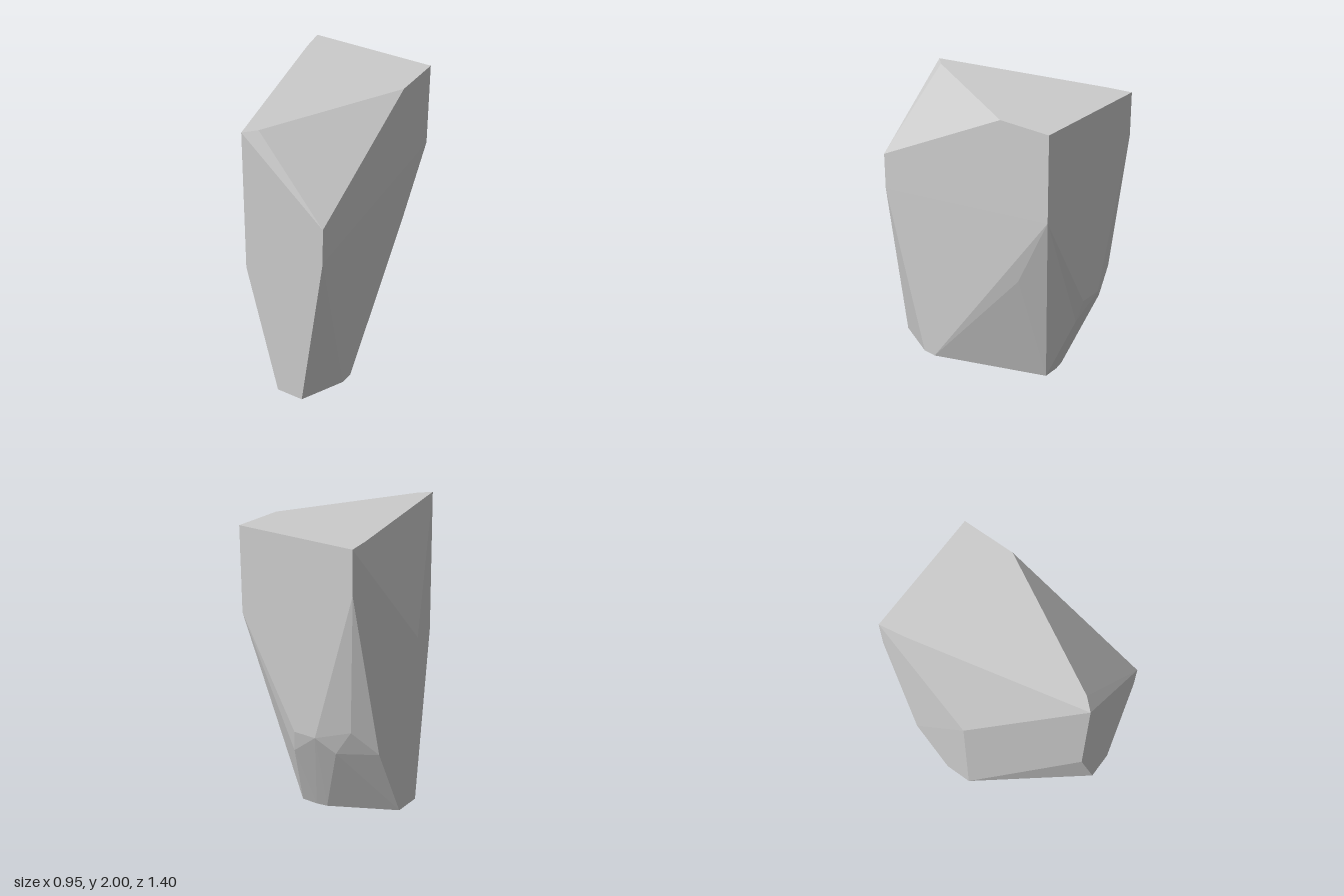
import * as THREE from 'three';
import { ConvexGeometry } from 'three/addons/geometries/ConvexGeometry.js';

// Corners of the cut stone as [x, y, z], grouped by region
const topRim = [
  [-0.42, 2, -0.7], [0.475, 2, -0.7], [0.475, 2, -0.32],
  [-0.04, 2, 0.62], [-0.115, 2, 0.7], [-0.39, 2, -0.52],
];
const frontFace = [[0.475, 1.48, 0.7], [0.475, 1.22, 0.7], [-0.115, 0.97, 0.7]];
const leftAndRightSides = [
  [-0.475, 1.22, -0.03], [-0.475, 0.53, -0.48], [0.44, 0.87, -0.44],
];
const backFace = [
  [0.475, 1.4, -0.7], [0.06, 0.64, -0.7], [-0.11, 0.64, -0.7], [-0.42, 1.7, -0.7],
];
const backBevel = [[0.09, 0.48, -0.665], [-0.23, 0.53, -0.63], [-0.345, 0.71, -0.62]];
const base = [
  [0.115, 0, 0.7], [0.31, 0, 0.7], [0.46, 0, 0.4], [0.465, 0, 0.3],
  [0.17, 0, -0.48], [0.05, 0, -0.48], [-0.03, 0, -0.465],
  [-0.475, 0, -0.23], [-0.475, 0, -0.03],
];

export function createModel() {
  const group = new THREE.Group();
  group.name = 'rock';

  // Faceted stone: the convex hull of its corners
  const corners = [topRim, frontFace, leftAndRightSides, backFace, backBevel, base]
    .flat()
    .map((p) => new THREE.Vector3(...p));
  const stone = new THREE.Mesh(
    new ConvexGeometry(corners),
    new THREE.MeshStandardMaterial({ color: 0xcccccc, flatShading: true }),
  );
  stone.name = 'stone';
  group.add(stone);
  return group;
}
